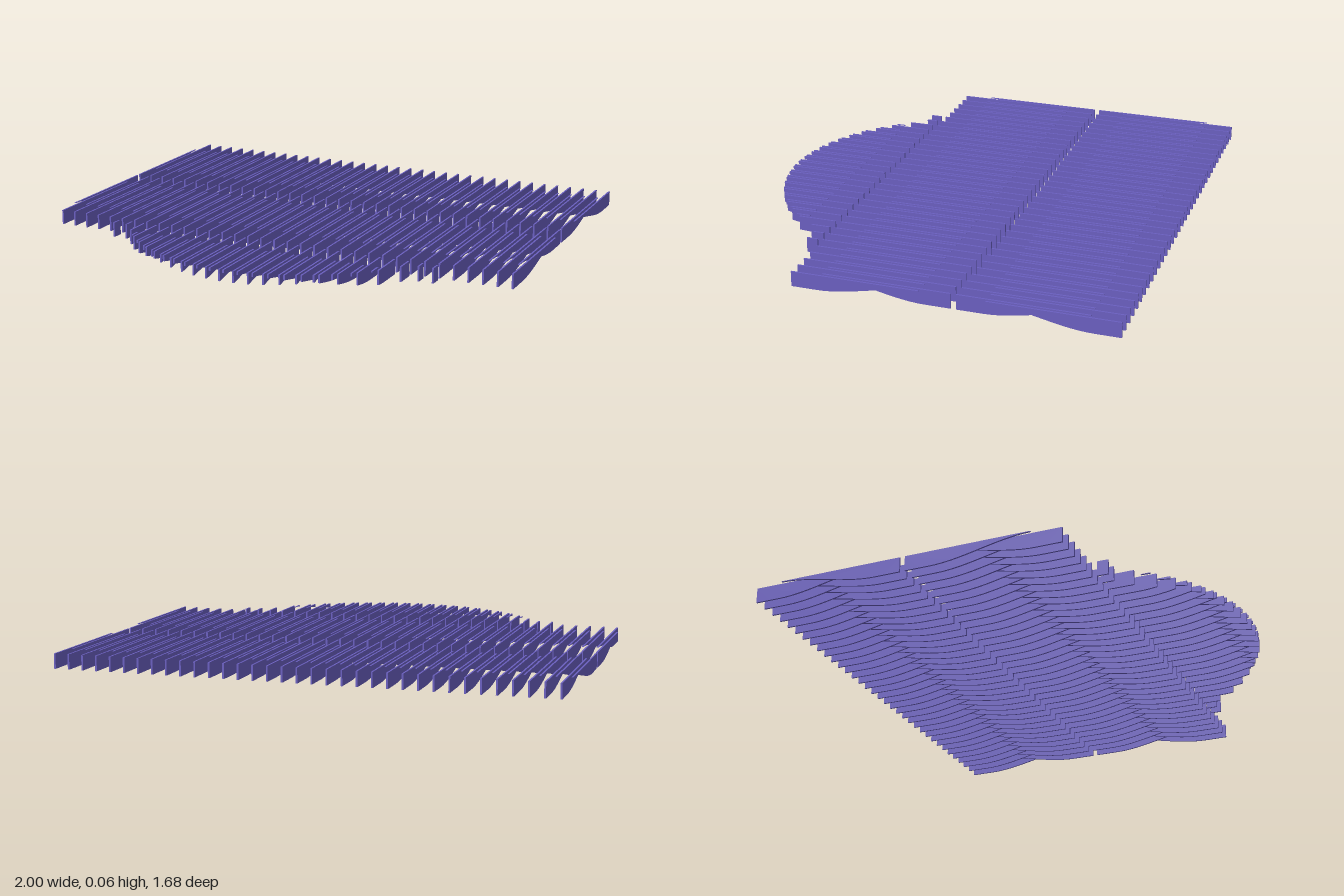
import * as THREE from 'three';

const HEIGHT = 0.06, THICK = 0.007, LENGTH = 0.505;
const COUNT = 35, OFFSET = 0.0175, FIRST = -0.9965;
const PITCH = (-2 * FIRST - OFFSET) / (COUNT - 1);

// underside of a blade: u = 0 at the deep end, 1 at the thin tip
function underside(u) {
  const t = THREE.MathUtils.clamp((u - 0.2) / 0.8, 0, 1);
  return 0.058 * t * t * (3 - 2 * t);
}

// one vertical blade running along z, cut off at zCut
function bladeGeometry(zBack, deepAtBack, zCut) {
  const zEnd = Math.min(zBack + LENGTH, zCut);
  const shape = new THREE.Shape();
  shape.moveTo(zBack, HEIGHT);
  const steps = 16;
  for (let i = 0; i <= steps; i++) {
    const z = zBack + (zEnd - zBack) * i / steps;
    const v = (z - zBack) / LENGTH;
    shape.lineTo(z, underside(deepAtBack ? v : 1 - v));
  }
  shape.lineTo(zEnd, HEIGHT);
  const geo = new THREE.ExtrudeGeometry(shape, { depth: THICK, bevelEnabled: false });
  geo.translate(0, 0, -THICK / 2);
  geo.rotateY(-Math.PI / 2);
  return geo;
}

// rounded front outline that trims the last row
function frontLimit(x) {
  const a = Math.abs(x), r = 0.705;
  if (a > 0.72) return -Infinity;
  const arc = a < r ? 0.84 - r + Math.sqrt(r * r - a * a) : 0;
  return Math.max(arc, 0.488);
}

export function createModel() {
  const model = new THREE.Group();
  model.name = 'ceilingBaffles';
  const material = new THREE.MeshStandardMaterial({ color: 0x6a5fc0 });

  // rows from back to front; the middle row swaps the two blade positions
  const rows = [
    { name: 'backRow', z: -0.843, swap: false, trimmed: false },
    { name: 'middleRow', z: -0.2, swap: true, trimmed: false },
    { name: 'frontRow', z: 0.443, swap: false, trimmed: true },
  ];
  for (const row of rows) {
    const group = new THREE.Group();
    group.name = row.name;
    for (let i = 0; i < COUNT; i++) {
      for (const second of [false, true]) {
        const x = FIRST + i * PITCH + (second ? OFFSET : 0);
        const deepAtBack = second !== row.swap;
        const zBack = row.z + (deepAtBack ? 0 : 0.117);
        const zCut = row.trimmed ? frontLimit(x) : Infinity;
        if (zCut < zBack + 0.01) continue;
        const blade = new THREE.Mesh(bladeGeometry(zBack, deepAtBack, zCut), material);
        blade.name = deepAtBack ? 'rearDeepBlade' : 'frontDeepBlade';
        blade.position.x = x;
        group.add(blade);
      }
    }
    model.add(group);
  }
  return model;
}
